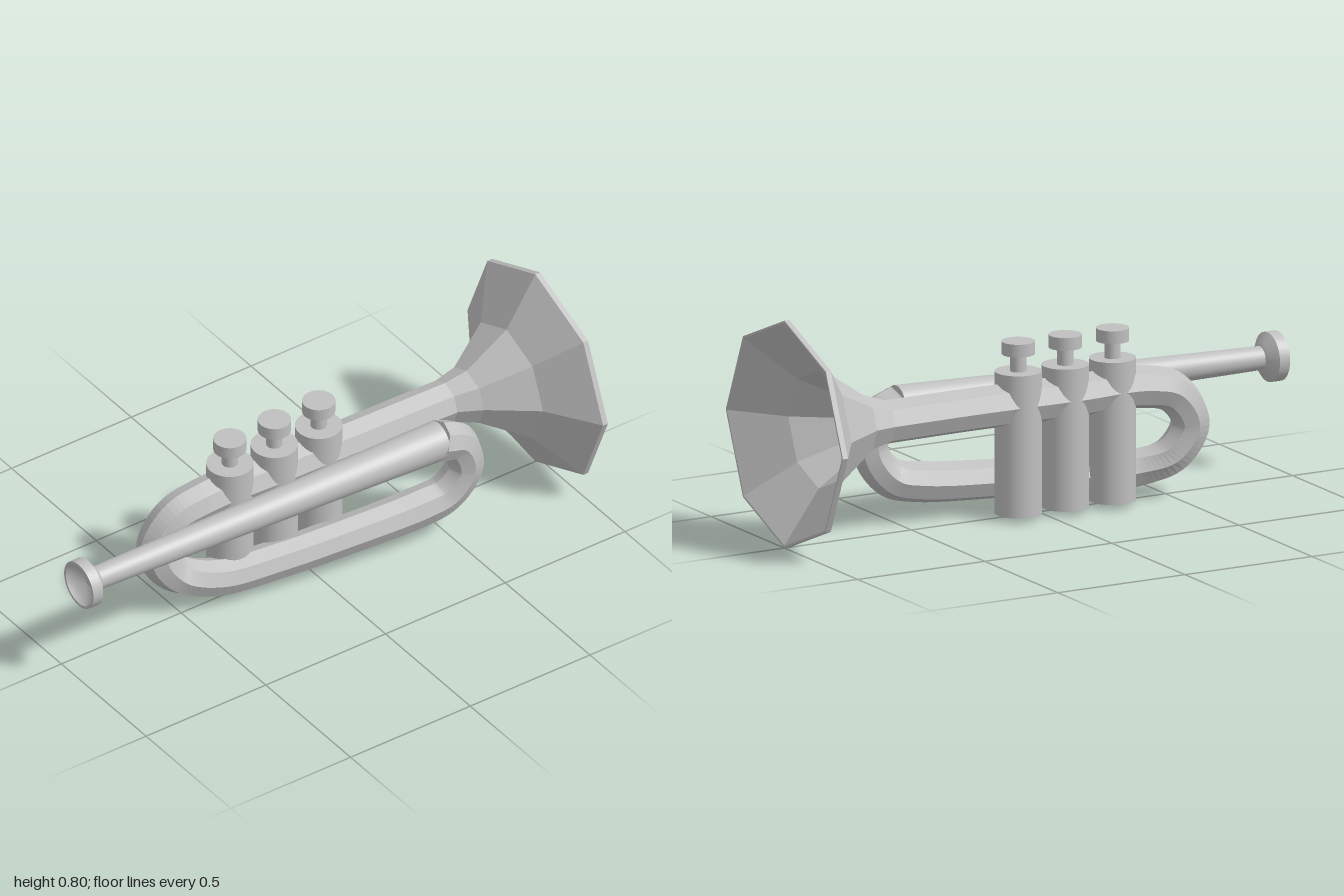
import * as THREE from 'three';

const SIDES = 8;

// Skin through octagonal rings {c: centre, t: direction, r: radius}
function loft(rings) {
  const pts = rings.map(({ c, t, r }) => {
    const side = new THREE.Vector3(1, 0, 0).addScaledVector(t, -t.x).normalize();
    const up = new THREE.Vector3().crossVectors(t, side);
    return Array.from({ length: SIDES }, (_, j) => {
      const a = (j / SIDES) * Math.PI * 2;
      return c.clone().addScaledVector(side, r * Math.cos(a)).addScaledVector(up, r * Math.sin(a));
    });
  });
  const pos = [];
  for (let i = 0; i < pts.length - 1; i++) {
    for (let j = 0; j < SIDES; j++) {
      const k = (j + 1) % SIDES;
      const [a, b, c, d] = [pts[i][j], pts[i][k], pts[i + 1][k], pts[i + 1][j]];
      for (const p of [a, b, c, a, c, d]) pos.push(p.x, p.y, p.z);
    }
  }
  const g = new THREE.BufferGeometry();
  g.setAttribute('position', new THREE.Float32BufferAttribute(pos, 3));
  g.computeVertexNormals();
  return g;
}

export function createModel() {
  const group = new THREE.Group();
  const faceted = new THREE.MeshStandardMaterial({ color: 0xc0c0c0, side: THREE.DoubleSide, flatShading: true });
  faceted.name = 'silver';
  const smooth = new THREE.MeshStandardMaterial({ color: 0xc0c0c0, side: THREE.DoubleSide });
  smooth.name = 'silver smooth';

  const add = (name, geometry, material, parent = group) => {
    const mesh = new THREE.Mesh(geometry, material);
    mesh.name = name;
    parent.add(mesh);
    return mesh;
  };

  // Flared bell: inner wall, rim, outer wall as [x, z, radius]
  const forward = new THREE.Vector3(0, 0, 1);
  const bell = [
    [-0.025, -0.62, 0.07], [-0.01, -0.7, 0.095], [0, -0.865, 0.208], [0, -1, 0.392],
    [0, -1, 0.4], [0, -0.98, 0.4], [0, -0.86, 0.216], [-0.01, -0.7, 0.104], [-0.025, -0.62, 0.077],
  ];
  add('bell', loft(bell.map(([x, z, r]) => ({ c: new THREE.Vector3(x, 0.402, z), t: forward, r }))), faceted);

  // Looped tube: control points as [x, y, z, radius]
  const path = [
    [-0.025, 0.402, -0.62, 0.077], [-0.03, 0.405, -0.3, 0.076], [-0.04, 0.405, 0.1, 0.076],
    [-0.045, 0.405, 0.38, 0.075], [-0.055, 0.37, 0.5, 0.071], [-0.06, 0.26, 0.562, 0.069],
    [-0.04, 0.15, 0.5, 0.068], [0.01, 0.105, 0.37, 0.068], [0.05, 0.104, 0.15, 0.068],
    [0.085, 0.115, -0.1, 0.069], [0.12, 0.133, -0.4, 0.072], [0.135, 0.16, -0.51, 0.068],
    [0.15, 0.26, -0.578, 0.066], [0.15, 0.37, -0.545, 0.068], [0.146, 0.405, -0.465, 0.074],
  ];
  const curve = new THREE.CatmullRomCurve3(path.map(([x, y, z]) => new THREE.Vector3(x, y, z)));
  const steps = 112;
  const rings = [];
  for (let i = 0; i <= steps; i++) {
    const u = i / steps;
    const s = u * (path.length - 1);
    const k = Math.min(Math.floor(s), path.length - 2);
    const r = THREE.MathUtils.lerp(path[k][3], path[k + 1][3], s - k);
    rings.push({ c: curve.getPoint(u), t: curve.getTangent(u), r });
  }
  rings.push({ ...rings[steps], r: 0.055 });
  add('loopedTube', loft(rings), faceted);

  // Tapered lead pipe
  const from = new THREE.Vector3(0.146, 0.405, -0.475);
  const to = new THREE.Vector3(0.103, 0.402, 0.945);
  const axis = to.clone().sub(from);
  const pipe = add('leadPipe', new THREE.CylinderGeometry(0.041, 0.07, axis.length(), 32), smooth);
  pipe.position.copy(from).add(to).multiplyScalar(0.5);
  pipe.quaternion.setFromUnitVectors(new THREE.Vector3(0, 1, 0), axis.normalize());

  // Mouthpiece with hollow cup; doubled points keep the edges sharp
  const profile = [
    [0.04, 0.93], [0.055, 0.937], [0.087, 0.96], [0.087, 0.96], [0.087, 1], [0.087, 1], [0.077, 1],
    [0.077, 1], [0.066, 0.975], [0.027, 0.955], [0.027, 0.955], [0, 0.955],
  ].map(([r, z]) => new THREE.Vector2(r, z));
  const mouthpiece = add('mouthpiece', new THREE.LatheGeometry(profile, 32), smooth);
  mouthpiece.rotation.x = Math.PI / 2;
  mouthpiece.position.set(0.103, 0.402, 0);

  // Three valves, each a casing, stem and finger button
  for (const z of [0.27, 0.084, -0.101]) {
    const valve = new THREE.Group();
    valve.name = 'valve';
    valve.position.set(-0.037, 0, z);
    const parts = [['casing', 0.081, 0.02, 0.52], ['stem', 0.028, 0.52, 0.58], ['button', 0.057, 0.58, 0.625]];
    for (const [name, r, y0, y1] of parts) {
      add(name, new THREE.CylinderGeometry(r, r, y1 - y0, 32), smooth, valve).position.y = (y0 + y1) / 2;
    }
    group.add(valve);
  }
  return group;
}
